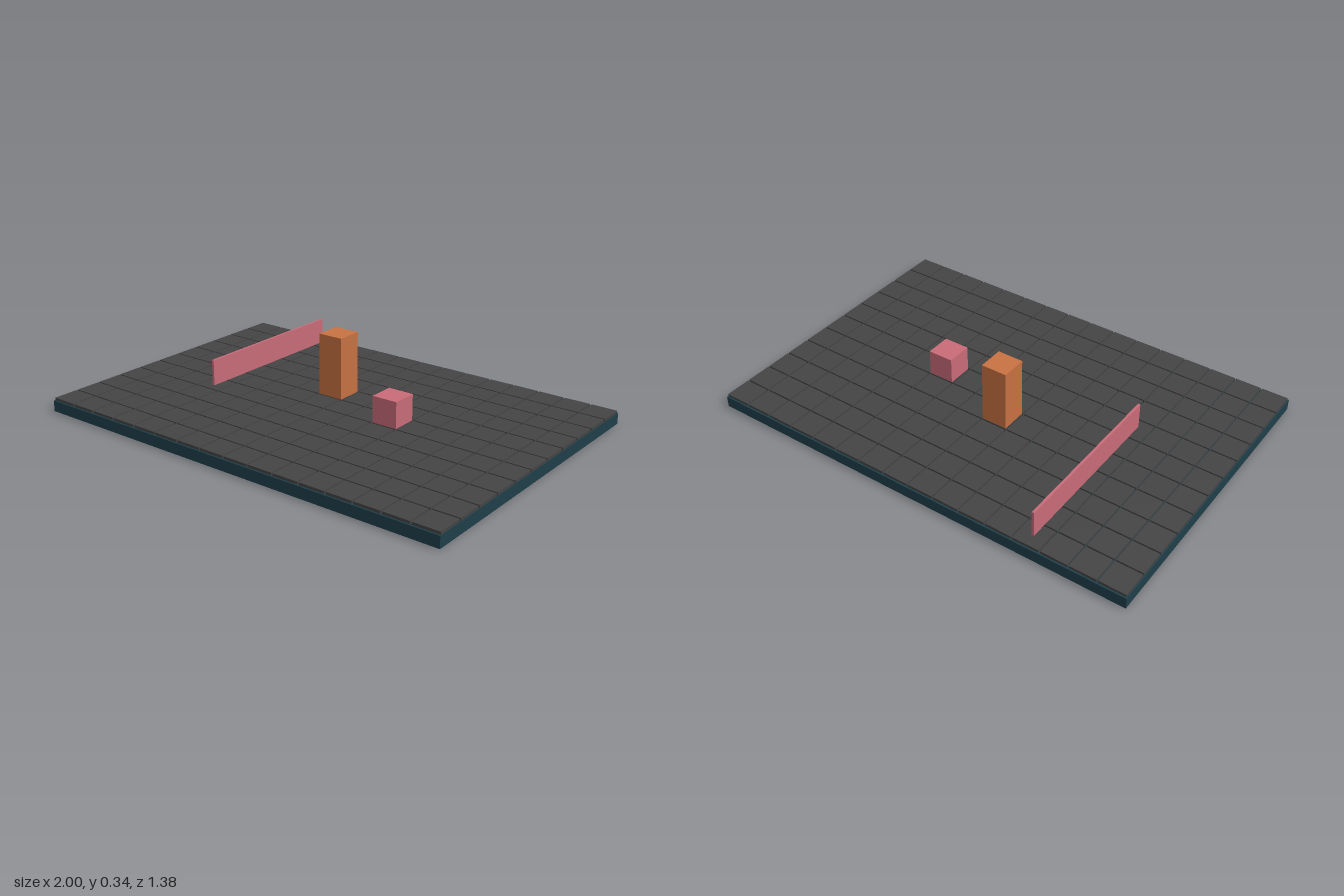
import * as THREE from 'three';

const PITCH = 0.125;
const TILE = 0.118;
const COLS = 16;
const ROWS = 11;
const BASE_TOP = 0.05;
const FLOOR = 0.062;

const paint = (color) => new THREE.MeshStandardMaterial({ color });

// Box given by its centre in plan, its bottom and top heights, and its width and depth
function addBox(parent, name, material, x, z, bottom, top, width, depth) {
  const mesh = new THREE.Mesh(new THREE.BoxGeometry(width, top - bottom, depth), material);
  mesh.position.set(x, (bottom + top) / 2, z);
  mesh.name = name;
  parent.add(mesh);
}

export function createModel() {
  const model = new THREE.Group();
  model.name = 'tiledBoard';
  const teal = paint(0x1f3f4a);
  const grey = paint(0x444444);
  const orange = paint(0xc87242);
  const pink = paint(0xc96c79);

  // Base slab
  addBox(model, 'base', teal, 0, 0, 0, BASE_TOP, 2, 1.382);

  // Grid of thin floor tiles with narrow gaps
  const tiles = new THREE.Group();
  tiles.name = 'floorTiles';
  model.add(tiles);
  for (let c = 0; c < COLS; c++) {
    for (let r = 0; r < ROWS; r++) {
      const x = (c - (COLS - 1) / 2) * PITCH + 0.001;
      const z = (r - (ROWS - 1) / 2) * PITCH;
      addBox(tiles, 'tile', grey, x, z, BASE_TOP, FLOOR, TILE, TILE);
    }
  }

  // Pieces standing on the tiles
  addBox(model, 'tallBlock', orange, -0.06, -0.123, FLOOR, 0.34, 0.118, 0.118);
  addBox(model, 'cubeBlock', pink, 0.316, 0, FLOOR, 0.18, 0.118, 0.118);
  addBox(model, 'thinWall', pink, -0.56, -0.243, FLOOR, 0.18, 0.011, 0.779);

  return model;
}
